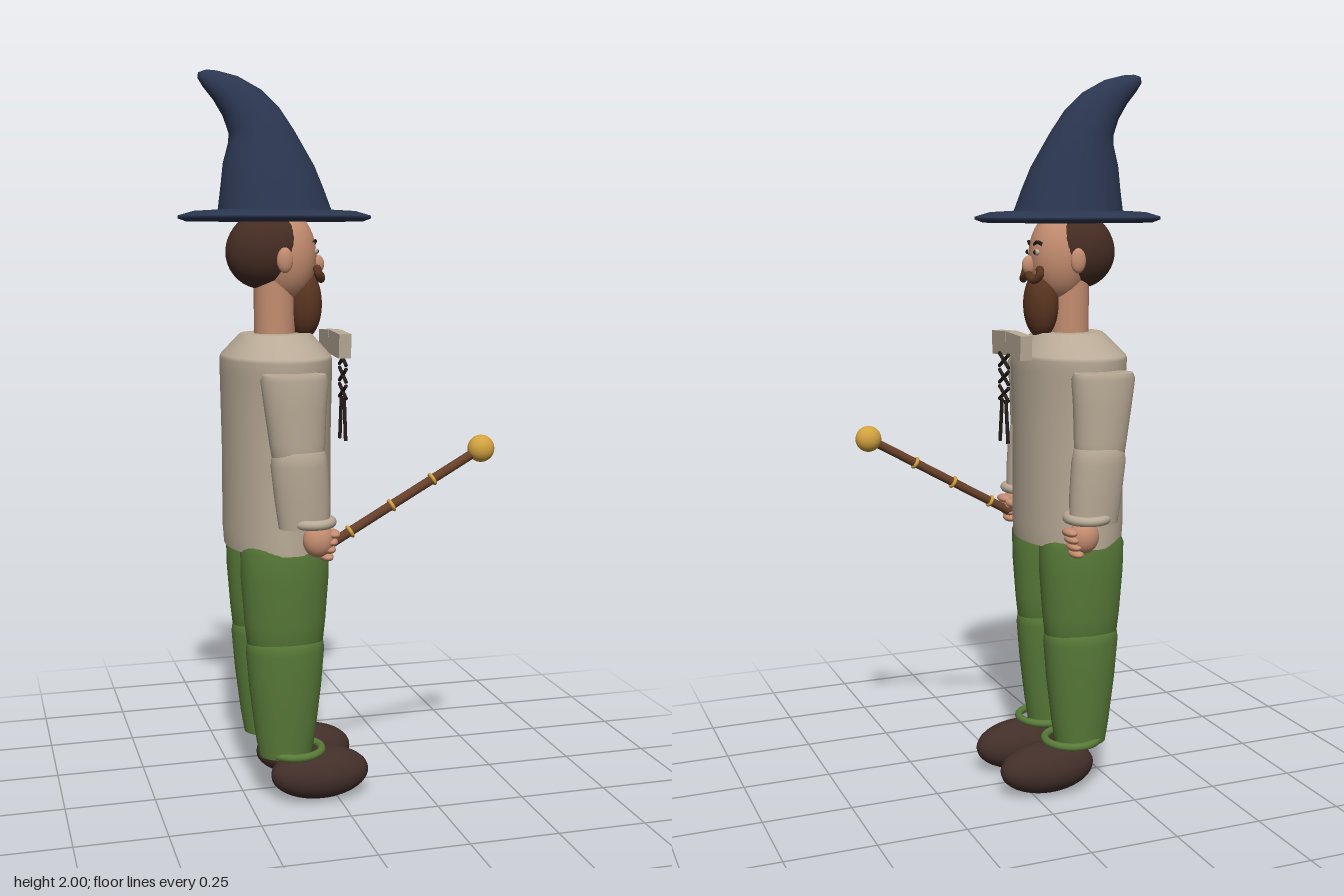
import * as THREE from 'three';

const mat = (name, color, side = THREE.FrontSide) => {
  const m = new THREE.MeshStandardMaterial({ color, side });
  m.name = name;
  return m;
};

export function createModel() {
  const group = new THREE.Group();
  const navy = mat('navy felt', 0x2b3650), hairBrown = mat('hair brown', 0x462d23);
  const beardBrown = mat('beard brown', 0x5a3521), skin = mat('skin', 0xc48d70);
  const linen = mat('linen', 0xb8aa96), green = mat('trouser green', 0x587a38);
  const leather = mat('shoe leather', 0x432f2a), wood = mat('wood', 0x68402a);
  const gold = mat('gold', 0xd2a240), dark = mat('dark cord', 0x241c19);

  const add = (name, geo, m, pos = [0, 0, 0], rot = [0, 0, 0]) => {
    const mesh = new THREE.Mesh(geo, m);
    mesh.name = name;
    mesh.position.set(...pos);
    mesh.rotation.set(...rot);
    group.add(mesh);
    return mesh;
  };
  const ball = (name, m, pos, r, rot) =>
    add(name, new THREE.SphereGeometry(1, 32, 20).scale(...r), m, pos, rot);

  // Loft of elliptical rings [x, y, z, rx, rz, tilt], listed bottom to top, with flat ends
  const loft = (rings, n = 40) => {
    const pos = [], idx = [];
    const ring = ([x, y, z, rx, rz, tilt = 0]) => {
      for (let i = 0; i < n; i++) {
        const a = (i / n) * Math.PI * 2, c = Math.cos(a);
        pos.push(x + rx * c, y + tilt * c, z + rz * Math.sin(a));
      }
    };
    rings.forEach(ring);
    for (let r = 0; r < rings.length - 1; r++) {
      for (let i = 0; i < n; i++) {
        const a = r * n + i, b = r * n + (i + 1) % n;
        idx.push(a, a + n, b, b, a + n, b + n);
      }
    }
    [rings[0], rings[rings.length - 1]].forEach((end, top) => {
      const s = pos.length / 3;
      ring(end);
      pos.push(end[0], end[1], end[2]);
      for (let i = 0; i < n; i++) {
        const j = (i + 1) % n;
        idx.push(s + n, s + (top ? j : i), s + (top ? i : j));
      }
    });
    const g = new THREE.BufferGeometry();
    g.setAttribute('position', new THREE.Float32BufferAttribute(pos, 3));
    g.setIndex(idx);
    g.computeVertexNormals();
    return g;
  };
  // Round rod between two points
  const rod = (name, m, a, b, r) => {
    const p = new THREE.Vector3(...a), q = new THREE.Vector3(...b);
    const mesh = add(name, new THREE.CylinderGeometry(r, r, p.distanceTo(q), 16), m);
    mesh.position.copy(p).add(q).multiplyScalar(0.5);
    mesh.quaternion.setFromUnitVectors(new THREE.Vector3(0, 1, 0), q.sub(p).normalize());
    return mesh;
  };
  const tube = (name, m, pts, r) => add(name, new THREE.TubeGeometry(
    new THREE.CatmullRomCurve3(pts.map(p => new THREE.Vector3(...p))), 20, r, 10), m);

  // Hat: thin oval brim and a crooked crown bending backwards
  add('hatBrim', loft([[-0.147, 1.602, 0, 0.24, 0.2], [-0.147, 1.61, 0, 0.262, 0.22],
    [-0.147, 1.618, 0, 0.262, 0.22], [-0.147, 1.63, 0, 0.22, 0.185], [-0.147, 1.634, 0, 0.15, 0.12]], 64), navy);
  const crown = [ // back x, back y, front x, front y, z, half depth
    [-0.304, 1.615, 0.014, 1.615, 0, 0.133], [-0.294, 1.69, -0.014, 1.69, -0.002, 0.115],
    [-0.286, 1.755, -0.038, 1.75, -0.006, 0.1], [-0.27, 1.81, -0.075, 1.815, -0.011, 0.083],
    [-0.268, 1.835, -0.092, 1.845, -0.014, 0.077], [-0.283, 1.88, -0.13, 1.903, -0.019, 0.061],
    [-0.308, 1.922, -0.178, 1.95, -0.024, 0.047], [-0.334, 1.955, -0.24, 1.984, -0.03, 0.033],
    [-0.347, 1.978, -0.295, 1.998, -0.036, 0.02], [-0.345, 1.992, -0.322, 2.0, -0.038, 0.009],
  ];
  add('hatCrown', loft(crown.map(([bx, by, fx, fy, z, rz]) =>
    [(bx + fx) / 2, (by + fy) / 2, z, (fx - bx) / 2, rz, (fy - by) / 2]), 48), navy);

  // Head
  ball('face', skin, [-0.12, 1.51, 0], [0.086, 0.125, 0.078]);
  ball('hair', hairBrown, [-0.17, 1.528, 0], [0.115, 0.105, 0.087], [0, 0, 0.5]);
  add('neck', new THREE.CylinderGeometry(0.056, 0.056, 0.2, 32), skin, [-0.15, 1.36, 0]);
  ball('nose', skin, [-0.03, 1.487, 0], [0.02, 0.026, 0.014]);
  ball('beard', beardBrown, [-0.066, 1.38, 0], [0.048, 0.095, 0.056]);
  for (const s of [1, -1]) {
    ball('ear', skin, [-0.14, 1.5, 0.085 * s], [0.022, 0.034, 0.013]);
    ball('eyeWhite', linen, [-0.042, 1.522, 0.027 * s], [0.007, 0.009, 0.013]);
    ball('pupil', dark, [-0.036, 1.522, 0.027 * s], [0.004, 0.006, 0.006]);
    tube('eyebrow', dark, [[-0.042, 1.542, 0.012 * s], [-0.042, 1.55, 0.028 * s], [-0.052, 1.543, 0.046 * s]], 0.005);
    tube('moustache', beardBrown, [[-0.028, 1.464, 0], [-0.024, 1.455, 0.02 * s],
      [-0.03, 1.448, 0.04 * s], [-0.04, 1.462, 0.054 * s], [-0.042, 1.476, 0.048 * s]], 0.011);
    ball('moustacheTip', beardBrown, [-0.042, 1.476, 0.048 * s], [0.011, 0.011, 0.011]);
  }

  // Shirt
  const cx = -0.148;
  add('shirt', loft([[cx, 0.72, 0, 0.143, 0.2], [cx, 0.77, 0, 0.147, 0.2], [cx, 1.0, 0, 0.147, 0.195],
    [cx, 1.2, 0, 0.15, 0.212], [cx, 1.235, 0, 0.15, 0.218], [cx, 1.245, 0, 0.146, 0.212],
    [cx, 1.296, 0, 0.102, 0.112], [cx, 1.302, 0, 0.095, 0.1]], 56), linen);

  // Collar flaps and lacing
  for (const s of [1, -1]) {
    add('collarFlap', new THREE.BoxGeometry(0.034, 0.066, 0.104), linen, [0.021, 1.272, 0.053 * s], [0.05 * s, 0, 0]);
    for (let i = 0; i < 3; i++) {
      const y = 1.228 - i * 0.046;
      rod('lace', dark, [0.044, y + 0.018, 0.034 * s], [0.044, y - 0.018, -0.034 * s], 0.005);
    }
    rod('laceEnd', dark, [0.044, 1.12, 0.014 * s], [0.044, 1.0, 0.03 * s], 0.005);
  }

  for (const s of [1, -1]) {
    // Sleeve with a rounded elbow, and a loose cuff
    const z = 0.228 * s;
    add('upperSleeve', loft([[-0.14, 0.95, z, 0.05, 0.04], [-0.14, 0.975, z, 0.068, 0.053], [-0.143, 1.03, z, 0.074, 0.055],
      [-0.148, 1.12, z, 0.082, 0.057], [-0.15, 1.195, z, 0.09, 0.058], [-0.15, 1.21, z, 0.083, 0.053]]), linen);
    add('lowerSleeve', loft([[-0.125, 0.805, z, 0.068, 0.047], [-0.13, 0.88, z, 0.074, 0.052],
      [-0.138, 0.97, z, 0.076, 0.057], [-0.14, 1.01, z, 0.07, 0.055], [-0.14, 1.035, z, 0.045, 0.035]]), linen);
    add('sleeveCuff', new THREE.TorusGeometry(0.056, 0.013, 14, 40).rotateX(Math.PI / 2).scale(0.95, 1, 1),
      linen, [-0.105, 0.82, z]);

    // Hand with curled fingers
    ball('palm', skin, [-0.09, 0.772, 0.242 * s], [0.042, 0.046, 0.034]);
    for (let i = 0; i < 4; i++) {
      ball('finger', skin, [-0.05 - i * 0.006, 0.787 - i * 0.02, 0.24 * s], [0.018, 0.012, 0.032]);
    }
    ball('thumb', skin, [-0.065, 0.775, 0.207 * s], [0.024, 0.013, 0.013], [0, 0, 0.4]);

    // Trouser leg with a knee fold, and a loose hem
    const lz = 0.1 * s;
    add('upperLeg', loft([[cx, 0.43, lz, 0.085, 0.065], [cx, 0.455, lz, 0.105, 0.08], [cx, 0.52, lz, 0.112, 0.088],
      [cx, 0.64, lz, 0.121, 0.096], [cx, 0.72, lz, 0.122, 0.099], [cx, 0.745, lz, 0.11, 0.09]]), green);
    add('lowerLeg', loft([[-0.148, 0.14, lz, 0.074, 0.062], [-0.148, 0.2, lz, 0.084, 0.068],
      [-0.148, 0.33, lz, 0.1, 0.079], [-0.148, 0.44, lz, 0.109, 0.085], [-0.148, 0.47, lz, 0.105, 0.082],
      [-0.148, 0.5, lz, 0.08, 0.06]]), green);
    add('trouserHem', new THREE.TorusGeometry(0.076, 0.011, 14, 44).rotateX(Math.PI / 2),
      green, [-0.122, 0.149, 0.098 * s]);
    ball('shoe', leather, [-0.048, 0.073, 0.097 * s], [0.14, 0.073, 0.073]);
  }
  ball('hips', green, [cx, 0.74, 0], [0.125, 0.052, 0.13]);

  // Wand with gold rings and knob
  const a = new THREE.Vector3(-0.065, 0.748, 0.222), b = new THREE.Vector3(0.37, 0.995, 0.222);
  rod('wand', wood, a.toArray(), b.toArray(), 0.0125);
  ball('wandKnob', gold, b.toArray(), [0.037, 0.037, 0.032]);
  const dir = b.clone().sub(a).normalize();
  for (const x of [0.002, 0.117, 0.232]) {
    const p = a.clone().lerp(b, (x - a.x) / (b.x - a.x));
    const ring = add('wandRing', new THREE.TorusGeometry(0.0135, 0.005, 12, 28), gold, p.toArray());
    ring.quaternion.setFromUnitVectors(new THREE.Vector3(0, 0, 1), dir);
  }
  return group;
}
